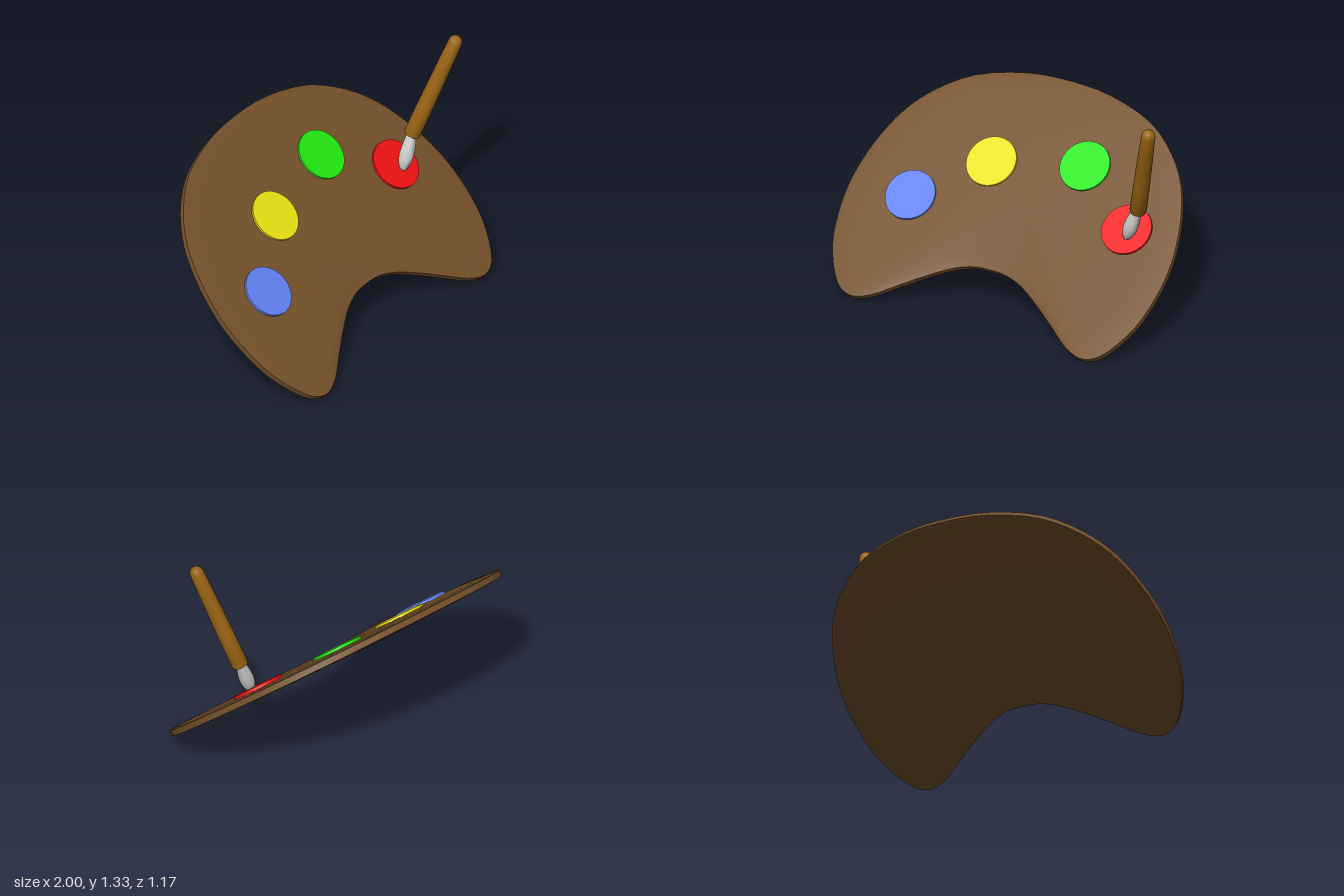
import * as THREE from 'three';
import { toCreasedNormals } from 'three/addons/utils/BufferGeometryUtils.js';

const V3 = (x, y, z) => new THREE.Vector3(x, y, z);

function part(name, geometry, color) {
  const mesh = new THREE.Mesh(geometry, new THREE.MeshStandardMaterial({ color }));
  mesh.name = name;
  return mesh;
}

// Kidney-shaped board, lofted through shrinking copies of its outline
function boardGeometry() {
  const half = [
    [0, -0.76], [0.26, -0.74], [0.55, -0.65], [0.74, -0.51], [0.86, -0.36], [0.94, -0.18],
    [0.985, 0], [1, 0.14], [0.99, 0.31], [0.95, 0.49], [0.86, 0.66], [0.79, 0.73],
    [0.71, 0.75], [0.61, 0.715], [0.49, 0.63], [0.35, 0.53], [0.2, 0.44], [0.09, 0.405], [0, 0.4],
  ];
  const mirrored = half.slice(1, -1).reverse().map(([x, z]) => [-x, z]);
  const outline = new THREE.CatmullRomCurve3(
    [...half, ...mirrored].map(([x, z]) => V3(x, 0, z)), true).getPoints(108).slice(0, -1);
  const middle = -0.1;
  const top = [[1, 0.017], [0.97, 0.02], [0.85, 0.024], [0.5, 0.028], [0, 0.03]];
  const rings = [...top.map(([s, h]) => [s, -h]).reverse(), ...top];
  const n = outline.length;
  const positions = [];
  const index = [];
  rings.forEach(([s, h], i) => outline.forEach((p, j) => {
    positions.push(p.x * s, h, middle + (p.z - middle) * s);
    if (i === rings.length - 1) return;
    const a = i * n + j, b = i * n + (j + 1) % n;
    index.push(a, a + n, b, b, a + n, b + n);
  }));
  const geometry = new THREE.BufferGeometry();
  geometry.setAttribute('position', new THREE.Float32BufferAttribute(positions, 3));
  geometry.setIndex(index);
  return toCreasedNormals(geometry, 0.7);
}

// Turned shape of the given [radius, height] profile, set from one point towards another
function turned(name, profile, from, to, color) {
  const geometry = new THREE.LatheGeometry(profile.map(([r, h]) => new THREE.Vector2(r, h)), 24);
  const mesh = part(name, toCreasedNormals(geometry, 0.8), color);
  const axis = to.clone().sub(from);
  mesh.scale.y = axis.length();
  mesh.position.copy(from);
  mesh.quaternion.setFromUnitVectors(V3(0, 1, 0), axis.normalize());
  return mesh;
}

export function createModel() {
  const model = new THREE.Group();
  model.name = 'paintPaletteWithBrush';

  // Tilted palette
  const palette = new THREE.Group();
  palette.name = 'palette';
  palette.position.y = 0.5;
  palette.rotation.x = THREE.MathUtils.degToRad(40.3);
  palette.add(part('board', boardGeometry(), 0x74502a));

  // Flat dabs of paint
  const dabs = [
    ['bluePaint', -0.62, 0.113, 0x6080f0],
    ['yellowPaint', -0.245, -0.193, 0xe8e010],
    ['greenPaint', 0.29, -0.309, 0x22e810],
    ['redPaint', 0.675, -0.023, 0xf01010],
  ];
  for (const [name, x, z, color] of dabs) {
    const dab = part(name, new THREE.CylinderGeometry(0.145, 0.145, 0.022, 40), color);
    dab.position.set(x, 0.03, z);
    palette.add(dab);
  }
  model.add(palette);

  // Brush resting on the red paint
  const brush = new THREE.Group();
  brush.name = 'brush';
  brush.add(turned('handle', [
    [0, 0], [0.044, 0], [0.047, 0.015], [0.046, 0.3], [0.042, 0.7], [0.039, 0.94],
    [0.034, 0.97], [0.022, 0.99], [0, 1],
  ], V3(0.77, 0.705, 0.045), V3(0.942, 1.33, 0.228), 0x9a6414));
  brush.add(turned('bristles', [
    [0, 0], [0.014, 0.02], [0.026, 0.1], [0.037, 0.24], [0.041, 0.4], [0.038, 0.6],
    [0.031, 0.8], [0.027, 1],
  ], V3(0.69, 0.505, 0.04), V3(0.772, 0.725, 0.048), 0xcccccc));
  model.add(brush);

  return model;
}
